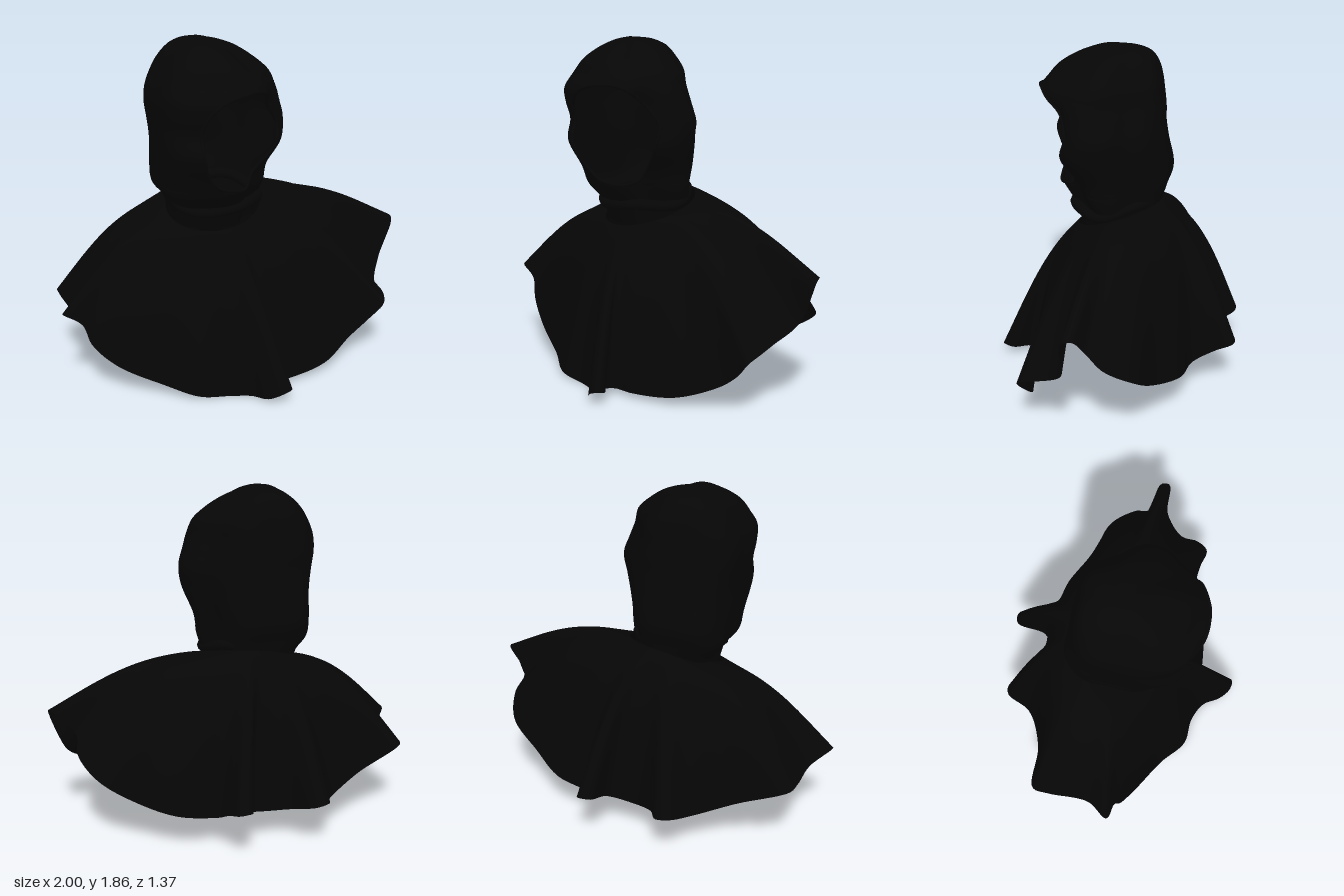
import * as THREE from 'three';
import { ParametricGeometry } from 'three/addons/geometries/ParametricGeometry.js';

const cloth = new THREE.MeshStandardMaterial({ color: 0x060606, side: THREE.DoubleSide });
const vec = (p) => new THREE.Vector3(...p);

function addMesh(group, name, geometry) {
  const mesh = new THREE.Mesh(geometry, cloth);
  mesh.name = name;
  group.add(mesh);
}

function surface(fn, slices, stacks) {
  const geometry = new ParametricGeometry(fn, slices, stacks);
  geometry.computeVertexNormals();
  return geometry;
}

// Hem of the cape, from the right tip round the front, the left tip and the back
const HEM = [
  [-1, 0.47, 0.15], [-0.9, 0.4, 0.17], [-0.86, 0.29, 0.2], [-0.74, 0.17, 0.26], [-0.52, 0.07, 0.37],
  [-0.36, 0.025, 0.48], [-0.2, 0, 0.49], [-0.09, 0.005, 0.54], [-0.03, 0.02, 0.63], [0.03, 0.06, 0.68],
  [0.085, 0.08, 0.68], [0.08, 0.06, 0.62], [0.01, 0.04, 0.54], [0.03, 0.03, 0.485], [0.15, 0.03, 0.48],
  [0.4, 0.055, 0.43], [0.6, 0.13, 0.33], [0.72, 0.22, 0.33], [0.8, 0.31, 0.35], [0.83, 0.35, 0.28],
  [0.83, 0.37, 0.18], [0.91, 0.47, 0.07], [0.995, 0.7, 0.05], [0.98, 0.71, 0], [0.86, 0.58, -0.04],
  [0.87, 0.5, -0.13], [0.79, 0.4, -0.27], [0.6, 0.28, -0.34], [0.4, 0.22, -0.44], [0.2, 0.2, -0.47],
  [0.16, 0.26, -0.58], [0.13, 0.3, -0.68], [0.06, 0.3, -0.67], [0.05, 0.22, -0.49], [-0.1, 0.19, -0.45],
  [-0.2, 0.2, -0.48], [-0.31, 0.26, -0.62], [-0.38, 0.27, -0.61], [-0.44, 0.23, -0.47], [-0.65, 0.3, -0.35],
  [-0.92, 0.42, -0.3], [-0.93, 0.42, -0.21], [-0.92, 0.41, 0.02],
];

function capeGeometry() {
  const N = 300, W = 18;
  const hem = new THREE.CatmullRomCurve3(HEM.map(vec), true).getSpacedPoints(N);
  // A smoothed hem gives the cape its soft upper form; folds sharpen downwards
  const soft = hem.map((_, i) => {
    const sum = new THREE.Vector3();
    for (let k = -W; k <= W; k++) sum.add(hem[(i + k + N) % N]);
    return sum.divideScalar(2 * W + 1);
  });
  return surface((u, v, out) => {
    const i = Math.round(u * N) % N, t = 1 - v;
    const s = soft[i];
    const a = Math.atan2(s.x + 0.05, s.z * 2);
    const sx = Math.sin(a), cz = Math.cos(a);
    const neck = new THREE.Vector3(-0.11 + 0.26 * sx, 0.94 - 0.08 * cz + 0.03 * sx, 0.02 + 0.23 * cz);
    const target = s.clone().lerp(hem[i], Math.pow(t, 0.75));
    out.copy(neck).lerp(target, t);
    // The cloth swells over the shoulders, most of all at the left shoulder blade
    const bulge = Math.sin(Math.PI * Math.pow(t, 0.9));
    const blade = Math.max(0, sx) * Math.max(0, -cz);
    out.y += bulge * (0.105 - 0.01 * cz + 0.05 * blade);
    out.x += bulge * (0.02 * sx + 0.03 * blade);
    out.z += bulge * (0.04 * cz - 0.01);
  }, N, 28);
}

// Hood sections: height, min x, max x, back z, front z
const HOOD = [
  [0.86, -0.33, 0.12, -0.18, 0.22], [0.98, -0.36, 0.14, -0.2, 0.27], [1.06, -0.42, 0.16, -0.22, 0.33],
  [1.16, -0.43, 0.17, -0.25, 0.39], [1.32, -0.445, 0.23, -0.225, 0.5], [1.43, -0.455, 0.245, -0.21, 0.46],
  [1.52, -0.465, 0.215, -0.205, 0.48], [1.6, -0.46, 0.185, -0.195, 0.49], [1.68, -0.43, 0.155, -0.185, 0.43],
  [1.75, -0.39, 0.08, -0.165, 0.37], [1.81, -0.33, -0.01, -0.13, 0.27], [1.845, -0.27, -0.11, -0.06, 0.17],
  [1.86, -0.21, -0.21, 0.07, 0.07],
];
const hoodCurves = [1, 2, 3, 4].map((k) =>
  new THREE.CatmullRomCurve3(HOOD.map((r) => new THREE.Vector3(r[k], r[0], 0))));

const FACE = 0.25; // the face opening is turned a little to the left
function faceGap(y) {
  const d = (y - 1.37) / 0.27;
  return Math.abs(d) < 1 ? 0.87 * Math.pow(1 - d * d, 0.45) : 0;
}

// Point on the hood at angle a (from the front towards the left) and height fraction v
function hoodPoint(a, v, out) {
  const q = hoodCurves.map((c) => c.getPoint(v));
  const y = q[0].y, sx = Math.sin(a), cz = Math.cos(a);
  const fade = Math.sin(Math.PI * Math.min(1, v * 1.05));
  const wrinkle = 0.012 * fade * (Math.sin(5 * a + 7 * y) + 0.6 * Math.sin(9 * a - 11 * y));
  // The turned head fills the right back corner, flattens the left and juts the brow
  const corner = Math.pow(Math.sin(2 * a), 2);
  const brow = Math.max(0, sx) * Math.max(0, cz) * Math.exp(-Math.pow((y - 1.65) / 0.08, 2));
  const turn = corner * (-0.06 - 0.2 * sx - 0.09 * cz + 0.3 * brow);
  const r = 1 + wrinkle + turn;
  const round = (s) => Math.sign(s) * Math.pow(Math.abs(s), 0.92);
  return out.set(
    (q[0].x + q[1].x) / 2 + ((q[1].x - q[0].x) / 2) * r * round(sx), y,
    (q[2].x + q[3].x) / 2 + ((q[3].x - q[2].x) / 2) * r * round(cz));
}

function hoodGeometry() {
  return surface((u, v, out) => {
    const gap = faceGap(hoodCurves[0].getPoint(v).y);
    hoodPoint(FACE + gap + u * (2 * Math.PI - 2 * gap), v, out);
  }, 96, 90);
}

// Thin rolled edge following the face opening
function brimGeometry() {
  const rows = [];
  for (let k = 0; k <= 400; k++) {
    const v = k / 400, y = hoodCurves[0].getPoint(v).y;
    if (faceGap(y) > 0) rows.push([v, faceGap(y)]);
  }
  const side = (sign) => rows.filter((_, i) => i % 6 === 0)
    .map(([v, gap]) => hoodPoint(FACE + sign * gap, v, new THREE.Vector3()));
  const loop = new THREE.CatmullRomCurve3([...side(1), ...side(-1).reverse()], true);
  return new THREE.TubeGeometry(loop, 120, 0.009, 8, true);
}

// Loose roll of cloth round the neck, hanging lower at the front
function neckRollGeometry() {
  const pts = [];
  for (let k = 0; k < 24; k++) {
    const a = (k / 24) * Math.PI * 2;
    const w = 1 + 0.03 * Math.sin(5 * a + 0.5);
    pts.push(new THREE.Vector3(-0.115 + 0.235 * w * Math.sin(a),
      1.0 - 0.03 * Math.cos(a) + 0.015 * Math.sin(3 * a + 0.5), 0.05 + 0.215 * w * Math.cos(a)));
  }
  return new THREE.TubeGeometry(new THREE.CatmullRomCurve3(pts, true), 96, 0.03, 10, true);
}

export function createModel() {
  const group = new THREE.Group();
  group.name = 'hoodedCape';
  addMesh(group, 'cape', capeGeometry());
  addMesh(group, 'hood', hoodGeometry());
  addMesh(group, 'hoodBrim', brimGeometry());
  addMesh(group, 'neckRoll', neckRollGeometry());
  return group;
}
